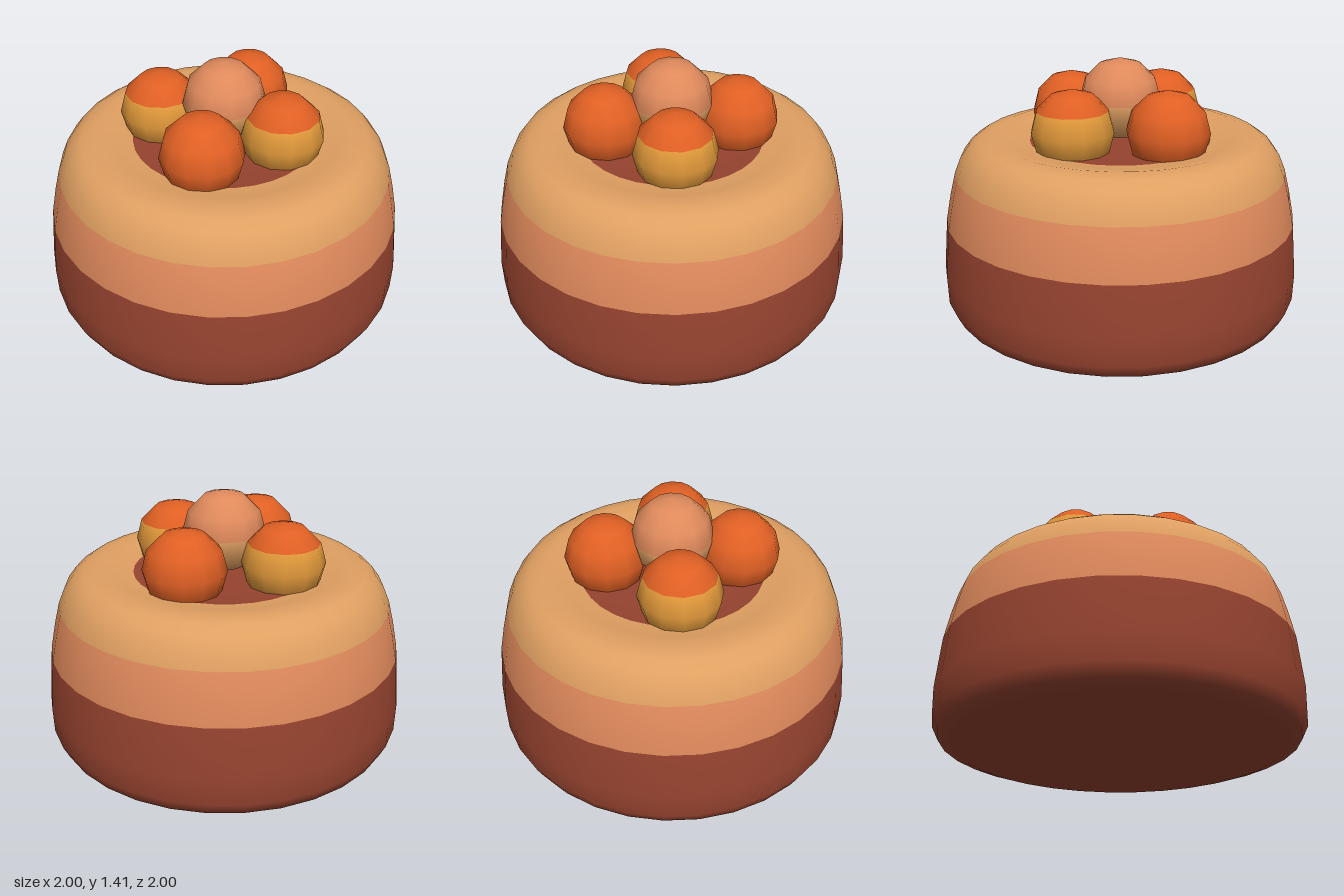
import * as THREE from 'three';

function mat(name, color) {
  const m = new THREE.MeshStandardMaterial({ color });
  m.name = name;
  return m;
}

// Keeps only the triangles accepted by a row test on their centre, leaving the smooth normals shared
function slice(geometry, test) {
  const p = geometry.attributes.position;
  const old = geometry.index.array;
  const index = [];
  for (let i = 0; i < old.length; i += 3) {
    const tri = [old[i], old[i + 1], old[i + 2]];
    const y = tri.reduce((s, v) => s + p.getY(v), 0) / 3;
    const r = Math.max(...tri.map(v => Math.hypot(p.getX(v), p.getZ(v))));
    if (test(y, r)) index.push(...tri);
  }
  const part = geometry.clone();
  part.setIndex(index);
  return part;
}

export function createModel() {
  const group = new THREE.Group();
  const brown = mat('chocolate brown', 0x96432f);
  const salmon = mat('salmon', 0xe08a5c);
  const caramel = mat('caramel', 0xe0a062);
  const orange = mat('orange', 0xe06024);
  const yellow = mat('golden yellow', 0xe0983a);

  const add = (parent, name, geometry, material) => {
    const mesh = new THREE.Mesh(geometry, material);
    mesh.name = name;
    parent.add(mesh);
  };

  // Cake body: one rounded profile with a shallow dip on top, cut into coloured layers
  const profile = [
    [0, 0], [0.6, 0], [0.88, 0.003], [0.96, 0.03], [0.995, 0.1], [1, 0.25], [0.975, 0.53],
    [0.945, 0.68], [0.915, 0.8], [0.88, 0.885], [0.835, 0.945], [0.78, 0.983], [0.7, 1],
    [0.61, 0.985], [0.5, 0.965], [0.3, 0.96], [0, 0.96],
  ].map(([x, y]) => new THREE.Vector2(x, y));
  const body = new THREE.LatheGeometry(profile, 32);
  const inDip = (y, r) => y > 0.9 && r < 0.51;
  const cake = new THREE.Group();
  cake.name = 'cake';
  add(cake, 'lowerLayer', slice(body, y => y < 0.53), brown);
  add(cake, 'middleLayer', slice(body, y => y > 0.53 && y < 0.8), salmon);
  add(cake, 'topLayer', slice(body, (y, r) => y > 0.8 && !inDip(y, r)), caramel);
  add(cake, 'centreFilling', slice(body, inDip), brown);
  group.add(cake);

  // Berries: four around the middle and one on top, some with a differently coloured cap
  const ball = new THREE.SphereGeometry(0.225, 12, 6);
  const berries = [
    ['leftBerry', 0.31, 1.07, -0.14, orange, yellow, 0.1125],
    ['rightBerry', -0.31, 1.07, 0.19, orange, yellow, 0.1125],
    ['frontBerry', 0.19, 1.07, 0.31, orange, orange, 0],
    ['backBerry', -0.16, 1.07, -0.32, orange, orange, 0],
    ['topBerry', 0, 1.19, 0, salmon, caramel, 0],
  ];
  for (const [name, x, y, z, capColour, baseColour, split] of berries) {
    const berry = new THREE.Group();
    berry.name = name;
    berry.position.set(x, y, z);
    add(berry, name + 'Cap', slice(ball, h => h > split), capColour);
    add(berry, name + 'Base', slice(ball, h => h <= split), baseColour);
    group.add(berry);
  }
  return group;
}
